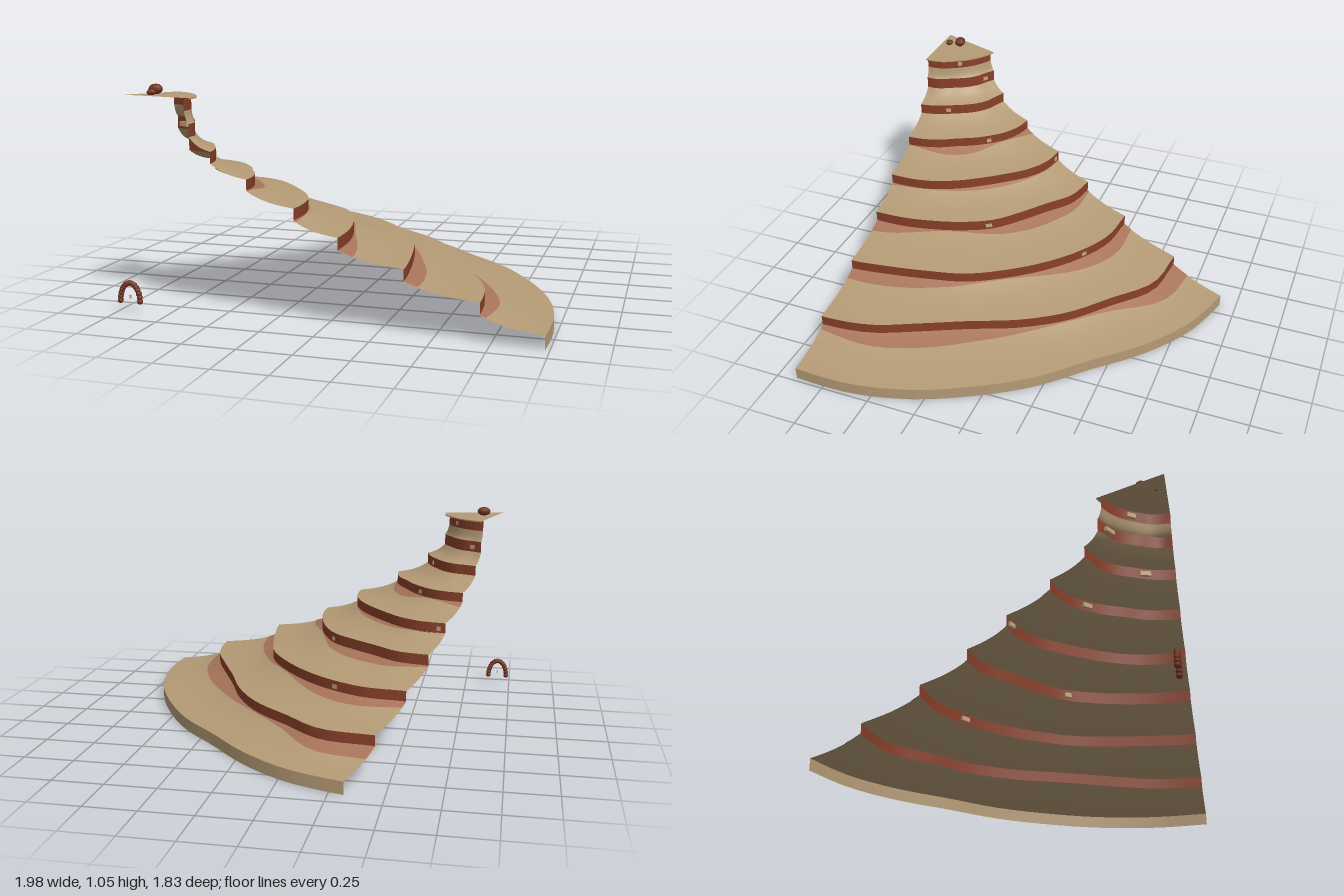
import * as THREE from 'three';

const paint = (name, color, side = THREE.DoubleSide) => {
  const m = new THREE.MeshStandardMaterial({ color, side });
  m.name = name;
  return m;
};

// Wedge: axis position, sweep and number of angular steps
const CX = -0.925, CZ = 0.9, SWEEP = THREE.MathUtils.degToRad(71.6), STEPS = 28;

// Each tier: cliff foot, cliff top and rim radii spread evenly over the sweep
const TIERS = [
  { foot: 0, top: 0.062, r: [1.905, 1.928, 1.93, 1.915, 1.904, 1.882, 1.91, 1.93, 1.914], stain: 0 },
  { foot: 0.125, top: 0.18, r: [1.63, 1.622, 1.58, 1.568, 1.603, 1.63, 1.635, 1.672, 1.61], stain: 0.05 },
  { foot: 0.245, top: 0.3, r: [1.3, 1.293, 1.305, 1.335, 1.34, 1.345, 1.345, 1.33, 1.275], stain: 0.038 },
  { foot: 0.36, top: 0.418, r: [1.005, 1.015, 1.025, 1.04, 1.05, 1.03, 1.022, 1.04, 1.015], stain: 0.038 },
  { foot: 0.48, top: 0.535, r: [0.805, 0.815, 0.82, 0.815, 0.81, 0.815, 0.83, 0.83, 0.805], stain: 0.012 },
  { foot: 0.6, top: 0.652, r: [0.585, 0.585, 0.58, 0.57, 0.578, 0.586, 0.594, 0.59, 0.577], stain: 0.028 },
  { foot: 0.715, top: 0.768, r: [0.415, 0.41, 0.405, 0.4, 0.405, 0.41, 0.41, 0.4, 0.4], stain: 0 },
  { foot: 0.83, top: 0.888, r: [0.315, 0.32, 0.315, 0.31, 0.315, 0.32, 0.322, 0.32, 0.33], stain: 0 },
  { foot: 0.945, top: 1.0, r: [0.295, 0.298, 0.3, 0.296, 0.297, 0.3, 0.302, 0.305, 0.308], stain: 0 },
];

// Rim radius of a tier at u = 0..1 across the sweep
function radius(tier, u) {
  const f = Math.min(u * 8, 7.9999), i = Math.floor(f), r = tier.r;
  const s = f - i, a = r[Math.max(i - 1, 0)], b = r[i], c = r[i + 1], d = r[Math.min(i + 2, 8)];
  return b + 0.5 * s * (c - a + s * (2 * a - 5 * b + 4 * c - d + s * (3 * (b - c) + d - a)));
}

const polar = (r, y, u) => [CX + r * Math.cos(u * SWEEP), y, CZ - r * Math.sin(u * SWEEP)];

// Surface swept round the axis; profile(u, t) returns [radius, height]
function sweep(rows, profile) {
  const pos = [], index = [], w = STEPS + 1;
  for (let j = 0; j <= rows; j++) {
    for (let i = 0; i <= STEPS; i++) {
      const u = i / STEPS, [r, y] = profile(u, j / rows);
      pos.push(...polar(r, y, u));
      if (i < STEPS && j < rows) {
        const a = j * w + i;
        index.push(a, a + 1, a + w, a + 1, a + w + 1, a + w);
      }
    }
  }
  const g = new THREE.BufferGeometry();
  g.setAttribute('position', new THREE.Float32BufferAttribute(pos, 3));
  g.setIndex(index);
  g.computeVertexNormals();
  return g;
}

export function createModel() {
  const group = new THREE.Group();
  const sand = paint('sand', 0xb59b76);
  const redRock = paint('red rock', 0x8a4029);
  const stain = paint('red dust', 0xa8755a);
  const darkRock = paint('dark red rock', 0x743522, THREE.FrontSide);
  const pale = paint('pale stone', 0xc4a882, THREE.FrontSide);

  const add = (name, geometry, material, parent = group) => {
    const m = new THREE.Mesh(geometry, material);
    m.name = name;
    parent.add(m);
    return m;
  };

  TIERS.forEach((tier, k) => {
    // Vertical cliff band
    add(k ? 'cliff' + k : 'baseWall',
      sweep(1, (u, t) => [radius(tier, u), tier.foot + (tier.top - tier.foot) * t]),
      k ? redRock : sand);
    if (!k) return;

    // Concave slope from the rim below up to this cliff
    const low = TIERS[k - 1];
    const slope = (u, t) => [
      THREE.MathUtils.lerp(radius(low, u), radius(tier, u), t),
      THREE.MathUtils.lerp(low.top, tier.foot, 0.45 * t + 0.55 * t ** 3),
    ];
    add('slope' + k, sweep(8, slope), sand);

    // Dust fringe along the foot of the cliff
    if (tier.stain) {
      const width = (u) => tier.stain * (1 + 0.85 * Math.cos(u * 8.5 - 2.2 + (k - 1) * 1.3));
      add('dustFringe' + k, sweep(3, (u, t) => {
        const span = radius(low, u) - radius(tier, u);
        const p = slope(u, 1 - (width(u) / span) * (1 - t));
        return [p[0], p[1] + 0.003];
      }), stain);
    }
  });

  // Summit sheet, slightly overhanging the last cliff
  const rim = (u) => radius(TIERS[8], u) + 0.025;
  add('summit', sweep(4, (u, t) => [rim(u) * (1 - t), 1.002 + 0.008 * t]), sand);
  add('summitLip', sweep(1, (u, t) => [rim(u), 0.996 + 0.006 * t]), sand);

  // Pale stone blocks set in the inner faces: [tier, degrees, width]
  [[2, 54.6, 0.045], [3, 34.5, 0.035], [4, 68.4, 0.042], [5, 45.7, 0.05],
    [6, 20, 0.05], [7, 59, 0.06], [8, 37, 0.045]].forEach(([k, deg, w]) => {
    const a = THREE.MathUtils.degToRad(deg), t = TIERS[k], u = a / SWEEP;
    const b = add('stoneBlock' + k, new THREE.BoxGeometry(0.016, 0.022, w), pale);
    b.position.set(...polar(radius(t, u) - 0.008, (t.foot + t.top) / 2 - 0.004, u));
    b.rotation.y = a;
  });

  // Summit boulders
  [[-0.823, 1.03, 0.79, 0.036, 0.024, 0.028], [-0.813, 1.02, 0.852, 0.023, 0.014, 0.019]]
    .forEach(([x, y, z, sx, sy, sz], i) => {
      const b = add('boulder' + (i + 1), new THREE.SphereGeometry(1, 8, 6), darkRock);
      b.position.set(x, y, z);
      b.scale.set(sx, sy, sz);
    });

  // Free-standing arch of overlapping stones, thicker at the feet
  const arch = new THREE.Group();
  arch.name = 'stoneArch';
  group.add(arch);
  const count = 15;
  for (let i = 0; i < count; i++) {
    const a = (i / (count - 1)) * Math.PI;
    const s = add('archStone', new THREE.SphereGeometry(1, 8, 6), darkRock, arch);
    s.position.set(CX - 0.006 + 0.05 * Math.cos(a), 0.057 + 0.085 * Math.sin(a), CZ);
    s.scale.set(0.014, 0.014, 0.011 + 0.004 * Math.abs(Math.cos(a)));
    s.rotation.z = a;
  }

  // Tiny marker stone under the arch
  add('markerStone', new THREE.BoxGeometry(0.008, 0.016, 0.008), pale).position.set(CX - 0.005, 0.077, CZ);
  return group;
}
